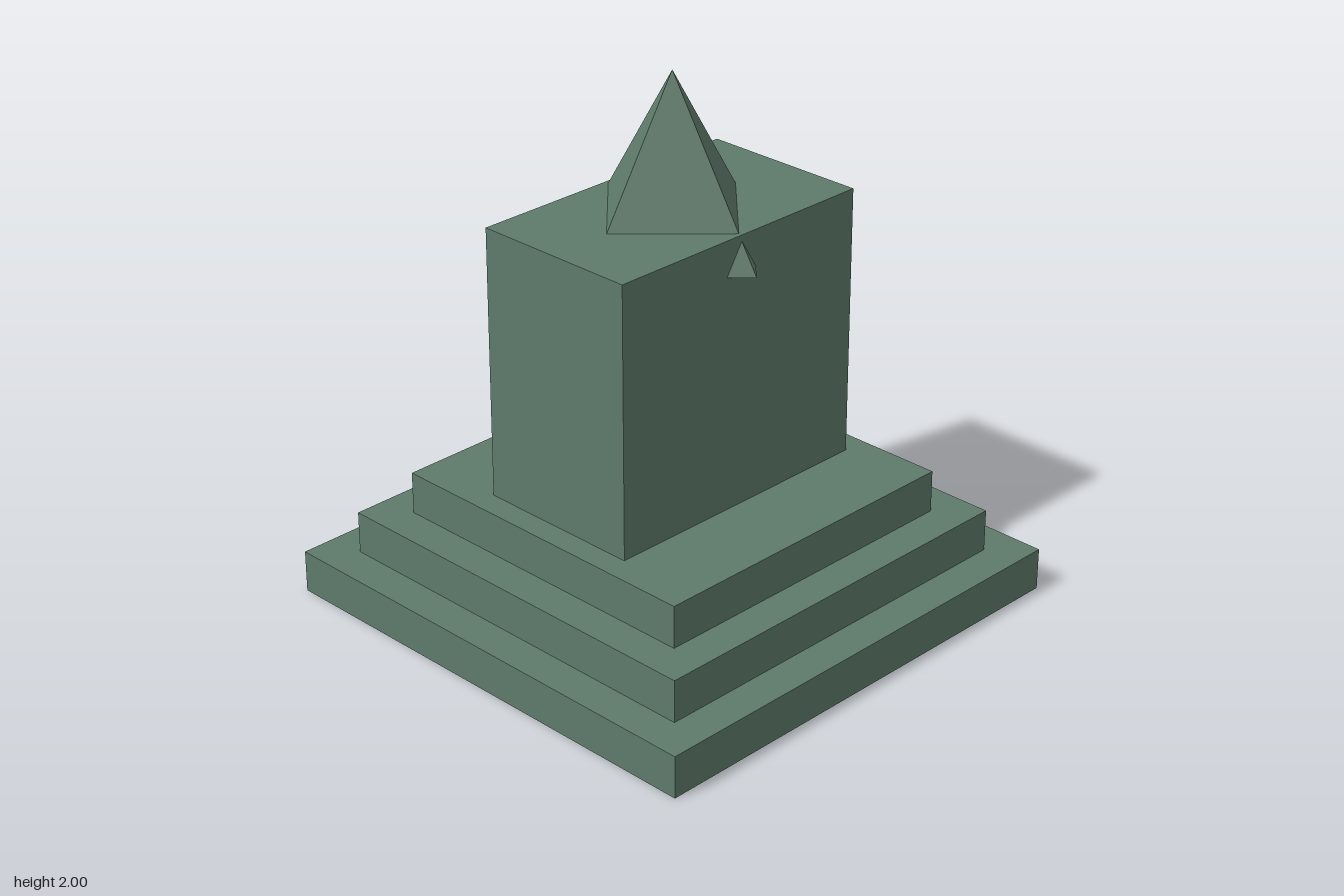
import * as THREE from 'three';

export function createModel() {
  const model = new THREE.Group();
  model.name = 'steppedMonument';
  const stone = new THREE.MeshStandardMaterial({ color: 0x5e7a6b, flatShading: true });
  stone.name = 'greenStone';

  const add = (name, geometry, y) => {
    const mesh = new THREE.Mesh(geometry, stone);
    mesh.name = name;
    mesh.position.y = y;
    model.add(mesh);
  };

  // Three square steps
  const stepHeight = 0.16;
  [1.866, 1.586, 1.306].forEach((width, i) =>
    add(`step${i + 1}`, new THREE.BoxGeometry(width, stepHeight, width), stepHeight * (i + 0.5)));

  // Rectangular shaft standing on the steps
  add('shaft', new THREE.BoxGeometry(1.118, 1.02, 0.652), 0.99);

  // Diamond-set pyramid, its corners poking through the shaft's front and back
  const base = 1.365, apex = 2;
  add('pyramidTop', new THREE.ConeGeometry(0.396, apex - base, 4), (base + apex) / 2);

  return model;
}
